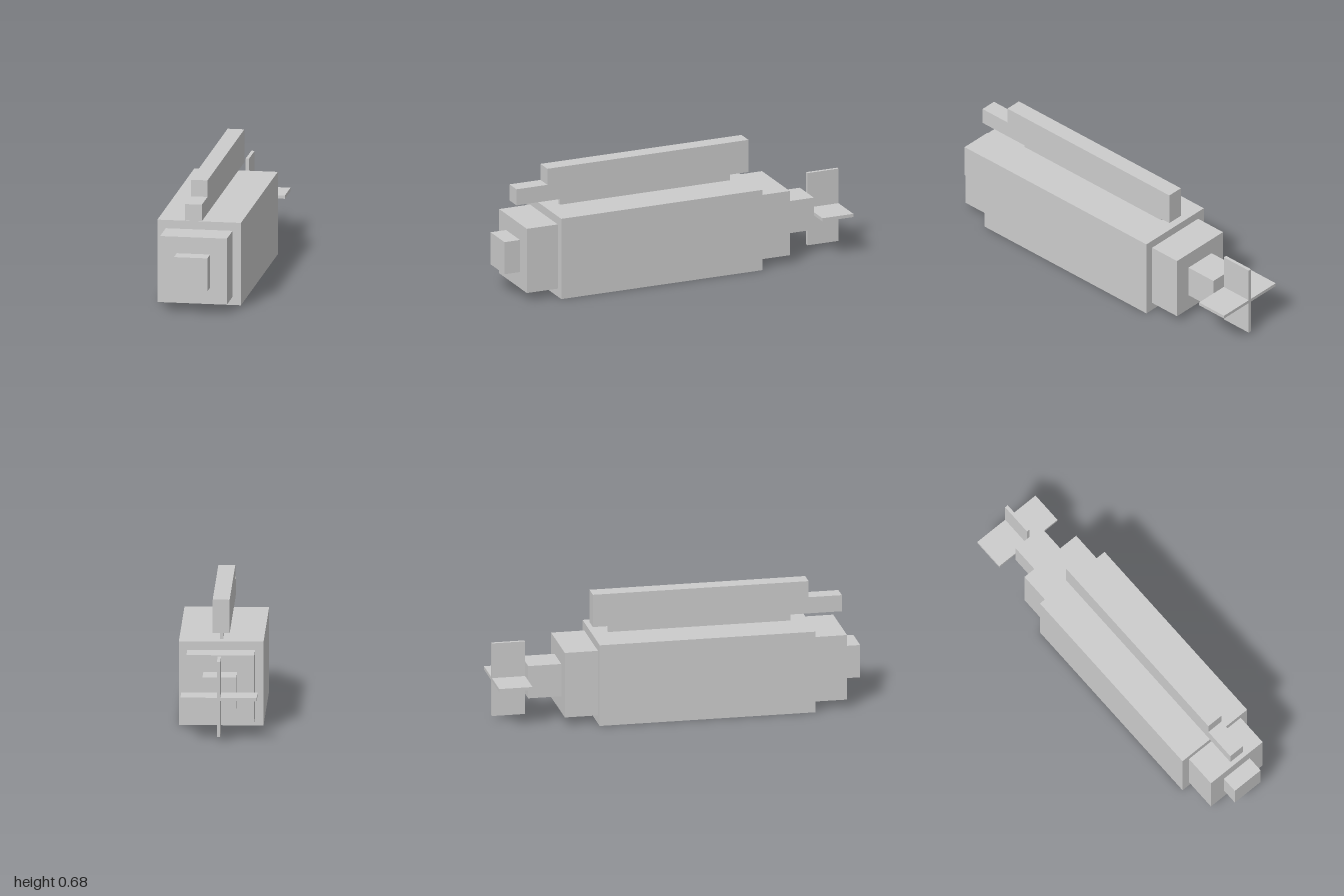
import * as THREE from 'three';

const U = 1 / 11; // modelling unit: the whole length is 22 units
const CENTRE_Y = 2.5;

export function createModel() {
  const model = new THREE.Group();
  const material = new THREE.MeshStandardMaterial({ color: 0xcccccc, flatShading: true });

  // Box centred on x = 0, spanning y0..y1 and z0..z1 in units
  function block(name, width, y0, y1, z0, z1) {
    const geometry = new THREE.BoxGeometry(width * U, (y1 - y0) * U, (z1 - z0) * U);
    const mesh = new THREE.Mesh(geometry, material);
    mesh.name = name;
    mesh.position.set(0, ((y0 + y1) / 2) * U, ((z0 + z1) / 2) * U);
    model.add(mesh);
  }

  // Square hull sections, stepped along the axis: name, width, back z, front z
  const sections = [
    ['noseTip', 2, 10, 11],
    ['noseSection', 4, 8, 10],
    ['mainBody', 5, -5, 8],
    ['rearSection', 4, -7, -5],
    ['tailShaft', 2, -9, -7],
  ];
  for (const [name, size, z0, z1] of sections) {
    block(name, size, CENTRE_Y - size / 2, CENTRE_Y + size / 2, z0, z1);
  }

  // Crossed tail fins
  block('horizontalFin', 4.5, CENTRE_Y - 0.1, CENTRE_Y + 0.1, -11, -9);
  block('verticalFin', 0.2, CENTRE_Y - 2.25, CENTRE_Y + 2.25, -11, -9);

  // Upper beam on a thin pylon, with a lower step at the front
  block('pylon', 0.2, 5, 5.5, -4, 7);
  block('upperBeam', 1, 5.5, 7.5, -5, 8);
  block('beamNose', 1, 5.5, 6.5, 8, 10);

  return model;
}
